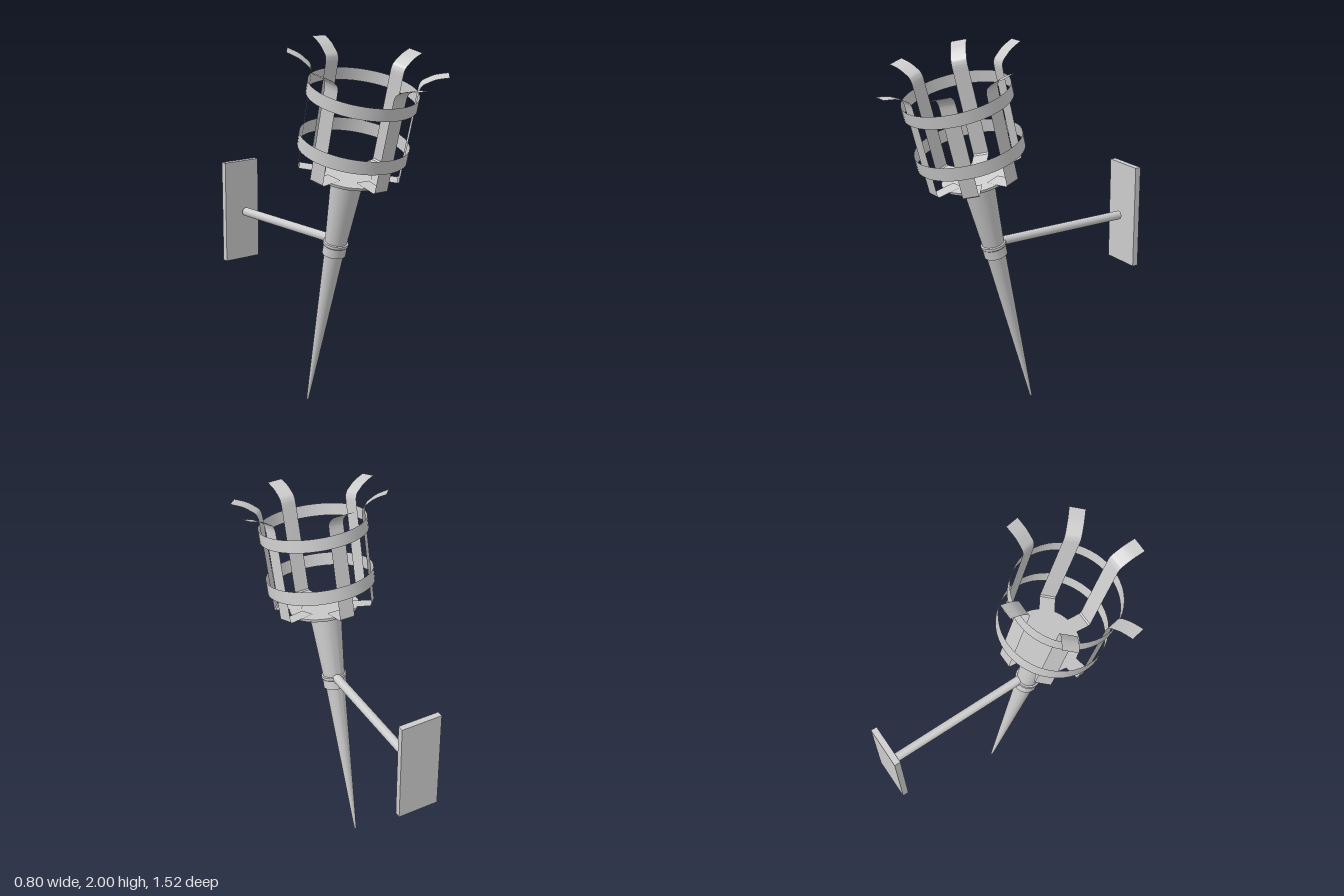
import * as THREE from 'three';
import { toCreasedNormals } from 'three/addons/utils/BufferGeometryUtils.js';

const solid = new THREE.MeshStandardMaterial({ color: 0xcccccc });
const sheet = new THREE.MeshStandardMaterial({ color: 0xcccccc, side: THREE.DoubleSide });

function add(parent, name, geometry, material = solid) {
  const mesh = new THREE.Mesh(geometry, material);
  mesh.name = name;
  parent.add(mesh);
  return mesh;
}

const lathe = (points) => toCreasedNormals(
  new THREE.LatheGeometry(points.map(([r, y]) => new THREE.Vector2(r, y)), 40), 0.6);

// Flat metal strip: runs out along the floor, up the side and flares at the tip
function stripGeometry(width) {
  const flare = new THREE.SplineCurve([
    [0.267, 1.84], [0.269, 1.875], [0.279, 1.9], [0.305, 1.92], [0.342, 1.942], [0.403, 1.961],
  ].map(([r, y]) => new THREE.Vector2(r, y))).getPoints(16);
  const profile = [
    new THREE.Vector2(0.115, 1.37), new THREE.Vector2(0.252, 1.37),
    new THREE.Vector2(0.259, 1.377), ...flare,
  ];
  const geometry = new THREE.PlaneGeometry(width, 1, 1, profile.length - 1);
  const pos = geometry.attributes.position;
  for (let i = 0; i < pos.count; i++) {
    const p = profile[Math.floor(i / 2)];
    pos.setXYZ(i, pos.getX(i), p.y, p.x);
  }
  return toCreasedNormals(geometry, 0.6);
}

export function createModel() {
  const model = new THREE.Group();
  model.name = 'wallTorch';

  // Leaning torch, built upright from its tip
  const torch = new THREE.Group();
  torch.name = 'torch';
  torch.position.set(-0.005, 0, -0.122);
  torch.rotation.x = 0.253;
  model.add(torch);

  add(torch, 'handle', lathe([[0, 0], [0.006, 0], [0.053, 0.93], [0.057, 0.96], [0.086, 1.352]]));
  add(torch, 'collar', lathe([
    [0.05, 0.905], [0.062, 0.905], [0.062, 0.955], [0.067, 0.96], [0.067, 0.974], [0.055, 0.978],
  ]));
  add(torch, 'basketFloor', lathe([[0, 1.35], [0.178, 1.35], [0.183, 1.358], [0.183, 1.366], [0, 1.366]]));

  // Two hoops around the basket
  for (const [name, bottom, top] of [['lowerHoop', 1.485, 1.557], ['upperHoop', 1.765, 1.832]]) {
    const hoop = add(torch, name, new THREE.CylinderGeometry(0.281, 0.281, top - bottom, 48, 1, true), sheet);
    hoop.position.y = (bottom + top) / 2;
  }

  // Six strips: three steps of a seventh turn from the front and from the back
  const strip = stripGeometry(0.083);
  for (const start of [0, Math.PI]) {
    for (let k = 0; k < 3; k++) {
      add(torch, 'basketStrip', strip, sheet).rotation.y = start + (k * 2 * Math.PI) / 7;
    }
  }

  // Wall bracket
  const arm = add(model, 'bracketArm', new THREE.CylinderGeometry(0.024, 0.024, 0.8, 24));
  arm.rotation.x = Math.PI / 2;
  arm.position.set(0.004, 0.95, -0.297);
  add(model, 'wallPlate', new THREE.BoxGeometry(0.222, 0.565, 0.033)).position.set(-0.003, 0.957, -0.74);

  return model;
}
